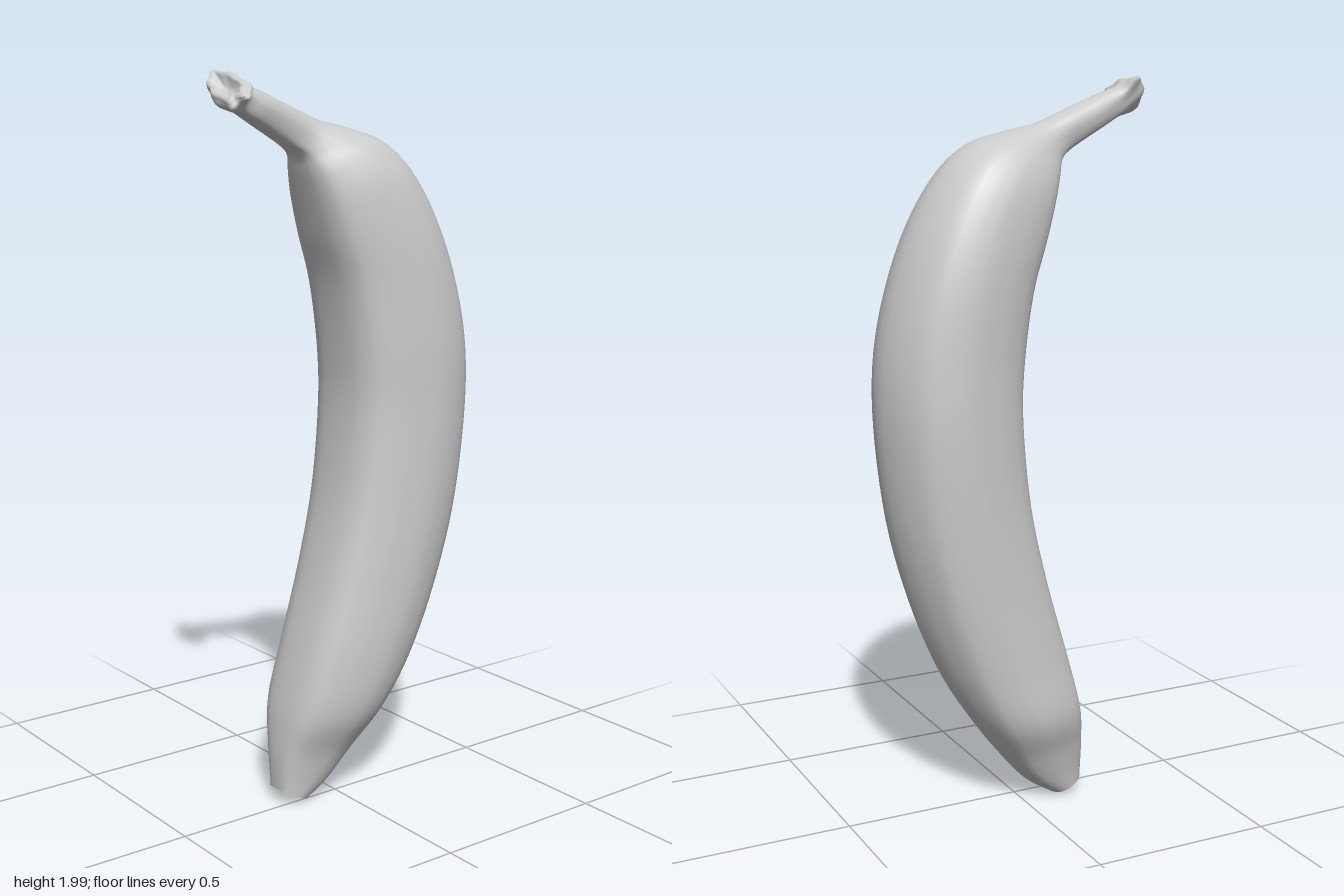
import * as THREE from 'three';

const AROUND = 40; // points per ring
const STEPS = 5;   // rings between two listed sections

// Each section: inner z, y | outer z, y | x offset, half width, sideways tilt, lumpiness
const BODY = [
  [0.182, 0.045, 0.095, 0.005, -0.03, 0.055, 0, 0],
  [0.183, 0.10, 0.02, 0.055, -0.03, 0.072, 0, 0],
  [0.18, 0.17, -0.06, 0.145, -0.03, 0.1, 0, 0],
  [0.165, 0.28, -0.145, 0.26, -0.025, 0.151, 0, 0],
  [0.125, 0.44, -0.23, 0.405, -0.013, 0.168, 0, 0],
  [0.065, 0.65, -0.31, 0.605, -0.007, 0.178, 0, 0],
  [0.015, 0.87, -0.368, 0.83, -0.003, 0.186, 0, 0],
  [-0.01, 1.10, -0.398, 1.09, -0.002, 0.192, 0, 0],
  [-0.005, 1.26, -0.393, 1.29, 0, 0.192, 0, 0],
  [0.02, 1.44, -0.355, 1.47, -0.003, 0.186, 0, 0],
  [0.06, 1.57, -0.295, 1.63, -0.005, 0.173, 0, 0],
  [0.09, 1.67, -0.215, 1.755, -0.005, 0.152, 0, 0],
  [0.11, 1.735, -0.13, 1.825, -0.003, 0.12, 0, 0],
  [0.125, 1.78, -0.03, 1.856, -0.002, 0.082, 0, 0],
  [0.155, 1.805, 0.06, 1.876, -0.002, 0.056, 0, 0],
  [0.2, 1.832, 0.14, 1.908, -0.003, 0.049, 0, 0],
];
const STEM = [
  [0.26, 1.865, 0.225, 1.942, 0, 0.046, 0, 0],
  [0.31, 1.89, 0.28, 1.963, 0.003, 0.042, 0.1, 0.2],
  [0.345, 1.90, 0.302, 1.97, 0.02, 0.058, 0.25, 0.6],
  [0.38, 1.912, 0.315, 1.982, 0.035, 0.077, 0.35, 1],
  [0.388, 1.93, 0.335, 1.982, 0.035, 0.074, 0.35, 1],
];

// Ridged cross-section: x across (half width = 1), y from inner (0) to outer (1)
const half = [[0.4, 0.015], [0.7, 0.09], [0.9, 0.28], [1, 0.52], [0.94, 0.7], [0.79, 0.84], [0.42, 0.95]];
const outline = [[0, 0], ...half, [0, 1], ...half.map(([u, v]) => [-u, v]).reverse()];
const profile = new THREE.CatmullRomCurve3(
  outline.map(([u, v]) => new THREE.Vector3(u, v, 0)), true, 'catmullrom', 0.4
).getPoints(AROUND).slice(0, AROUND);

// Smooth the section table into closely spaced rings of points
function makeRings(sections) {
  const curve = (pick) => new THREE.CatmullRomCurve3(
    sections.map((s) => new THREE.Vector3(...pick(s))), false, 'catmullrom', 0.5);
  const inner = curve((s) => [0, s[1], s[0]]);
  const outer = curve((s) => [0, s[3], s[2]]);
  const side = curve((s) => [s[4], s[5], s[6]]);
  const lumps = curve((s) => [s[7], 0, 0]);
  const rings = [];
  const n = (sections.length - 1) * STEPS;
  for (let i = 0; i <= n; i++) {
    const t = i / n;
    const a = inner.getPoint(t), b = outer.getPoint(t);
    const s = side.getPoint(t), lump = lumps.getPoint(t).x;
    rings.push(profile.map((p, j) => {
      const ang = (j / AROUND) * Math.PI * 2;
      const k = 1 + lump * (0.08 * Math.sin(3 * ang + 1) + 0.07 * Math.sin(7 * ang + t * 9));
      const u = p.x * k * s.y;
      const q = a.clone().lerp(b, 0.5 + (p.y - 0.5) * k);
      q.x = s.x + u;
      q.y -= s.z * u;
      return q;
    }));
  }
  return rings;
}

// Skin a list of rings
function loft(rings) {
  const index = [];
  for (let i = 0; i < rings.length - 1; i++) {
    for (let j = 0; j < AROUND; j++) {
      const k = (j + 1) % AROUND;
      const a = i * AROUND + j, b = i * AROUND + k;
      index.push(a, b, b + AROUND, a, b + AROUND, a + AROUND);
    }
  }
  const geometry = new THREE.BufferGeometry().setFromPoints(rings.flat());
  geometry.setIndex(index);
  geometry.computeVertexNormals();
  return geometry;
}

// Close a ring with shrinking rings; each step is [scale, depth along push]
function capRings(ring, push, steps) {
  const centre = ring.reduce((c, p) => c.add(p), new THREE.Vector3()).divideScalar(AROUND);
  return steps.map(([scale, depth]) => ring.map((p) =>
    centre.clone().lerp(p, scale).addScaledVector(push, depth)));
}

export function createModel() {
  const group = new THREE.Group();
  group.name = 'banana';
  const material = new THREE.MeshStandardMaterial({ color: 0xcccccc, roughness: 0.8 });
  const add = (name, rings) => {
    const mesh = new THREE.Mesh(loft(rings), material);
    mesh.name = name;
    group.add(mesh);
  };

  // Curved fruit running unbroken into the stem and its lumpy torn end
  const rings = makeRings([...BODY, ...STEM]);
  add('fruitAndStem', rings);

  // Blunt blossom tip, slightly hollow
  const tip = capRings(rings[0], new THREE.Vector3(0, 0.9, -0.43),
    [[1, 0], [0.8, 0.002], [0.5, 0.01], [0.001, 0.012]]);
  add('blossomTip', tip.reverse());

  // Dished cut face of the stem
  const cut = capRings(rings[rings.length - 1], new THREE.Vector3(0.2, 0.7, 0.68),
    [[1, 0], [0.88, 0.008], [0.7, 0.002], [0.4, -0.012], [0.001, -0.014]]);
  add('stemCutFace', cut);

  return group;
}
